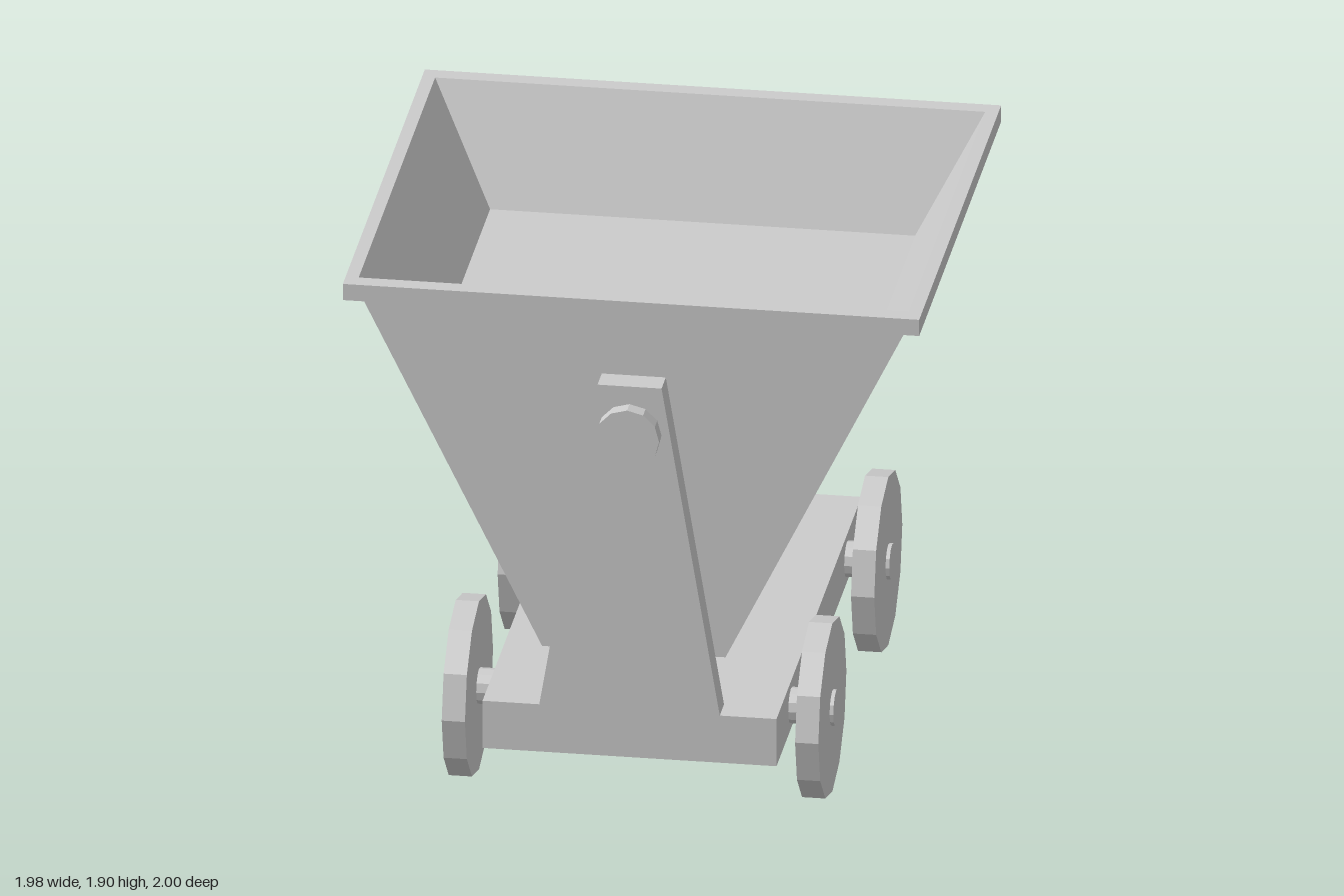
import * as THREE from 'three';

const material = new THREE.MeshStandardMaterial({ color: 0xcccccc, flatShading: true });

function addMesh(parent, name, geometry, x = 0, y = 0, z = 0) {
  const mesh = new THREE.Mesh(geometry, material);
  mesh.name = name;
  mesh.position.set(x, y, z);
  parent.add(mesh);
  return mesh;
}

// Closed skin through rectangular rings [halfX, halfZ, y], capped at both ends
function rectLoft(rings) {
  const corners = [[1, 1], [1, -1], [-1, -1], [-1, 1]];
  const point = (r, i) => {
    const [hx, hz, y] = rings[r];
    const [sx, sz] = corners[i % 4];
    return [sx * hx, y, sz * hz];
  };
  const pos = [];
  const quad = (a, b, c, d) => pos.push(...a, ...b, ...c, ...a, ...c, ...d);
  for (let r = 0; r < rings.length - 1; r++) {
    for (let i = 0; i < 4; i++) quad(point(r, i), point(r, i + 1), point(r + 1, i + 1), point(r + 1, i));
  }
  const last = rings.length - 1;
  quad(point(0, 3), point(0, 2), point(0, 1), point(0, 0));
  quad(point(last, 0), point(last, 1), point(last, 2), point(last, 3));
  const geometry = new THREE.BufferGeometry();
  geometry.setAttribute('position', new THREE.Float32BufferAttribute(pos, 3));
  geometry.computeVertexNormals();
  return geometry;
}

export function createModel() {
  const cart = new THREE.Group();
  cart.name = 'tippingCart';

  // Hopper: sloped outside, overhanging rim, shallow tapered inside
  addMesh(cart, 'hopper', rectLoft([
    [0.315, 0.85, 0.575],
    [0.94, 0.85, 1.84],
    [0.99, 0.912, 1.84],
    [0.99, 0.912, 1.9],
    [0.945, 0.85, 1.9],
    [0.73, 0.68, 1.5],
  ]));

  // Chassis between the end plates
  addMesh(cart, 'chassis', new THREE.BoxGeometry(1.01, 0.175, 1.7), 0, 0.3125, 0);

  // End plates with a tapered upright
  const outline = [[-0.505, 0.225], [0.505, 0.225], [0.505, 0.4], [0.31, 0.4],
    [0.11, 1.6], [-0.11, 1.6], [-0.31, 0.4], [-0.505, 0.4]];
  const plateGeometry = new THREE.ExtrudeGeometry(
    new THREE.Shape(outline.map(([x, y]) => new THREE.Vector2(x, y))),
    { depth: 0.095, bevelEnabled: false });

  const pivotGeometry = new THREE.CylinderGeometry(0.11, 0.11, 0.15, 12).rotateX(Math.PI / 2);
  const wheelGeometry = new THREE.CylinderGeometry(0.312, 0.312, 0.08, 12).rotateZ(Math.PI / 2);
  const axleGeometry = new THREE.CylinderGeometry(0.0625, 0.0625, 1.32, 12).rotateZ(Math.PI / 2);

  for (const [end, s] of [['front', 1], ['back', -1]]) {
    addMesh(cart, `${end}Support`, plateGeometry, 0, 0, s > 0 ? 0.85 : -0.945);
    addMesh(cart, `${end}Pivot`, pivotGeometry, 0, 1.425, s * 0.925);

    // Axle with its two wheels
    addMesh(cart, `${end}Axle`, axleGeometry, 0, 0.312, s * 0.622);
    addMesh(cart, `${end}LeftWheel`, wheelGeometry, 0.607, 0.312, s * 0.622);
    addMesh(cart, `${end}RightWheel`, wheelGeometry, -0.607, 0.312, s * 0.622);
  }
  return cart;
}
